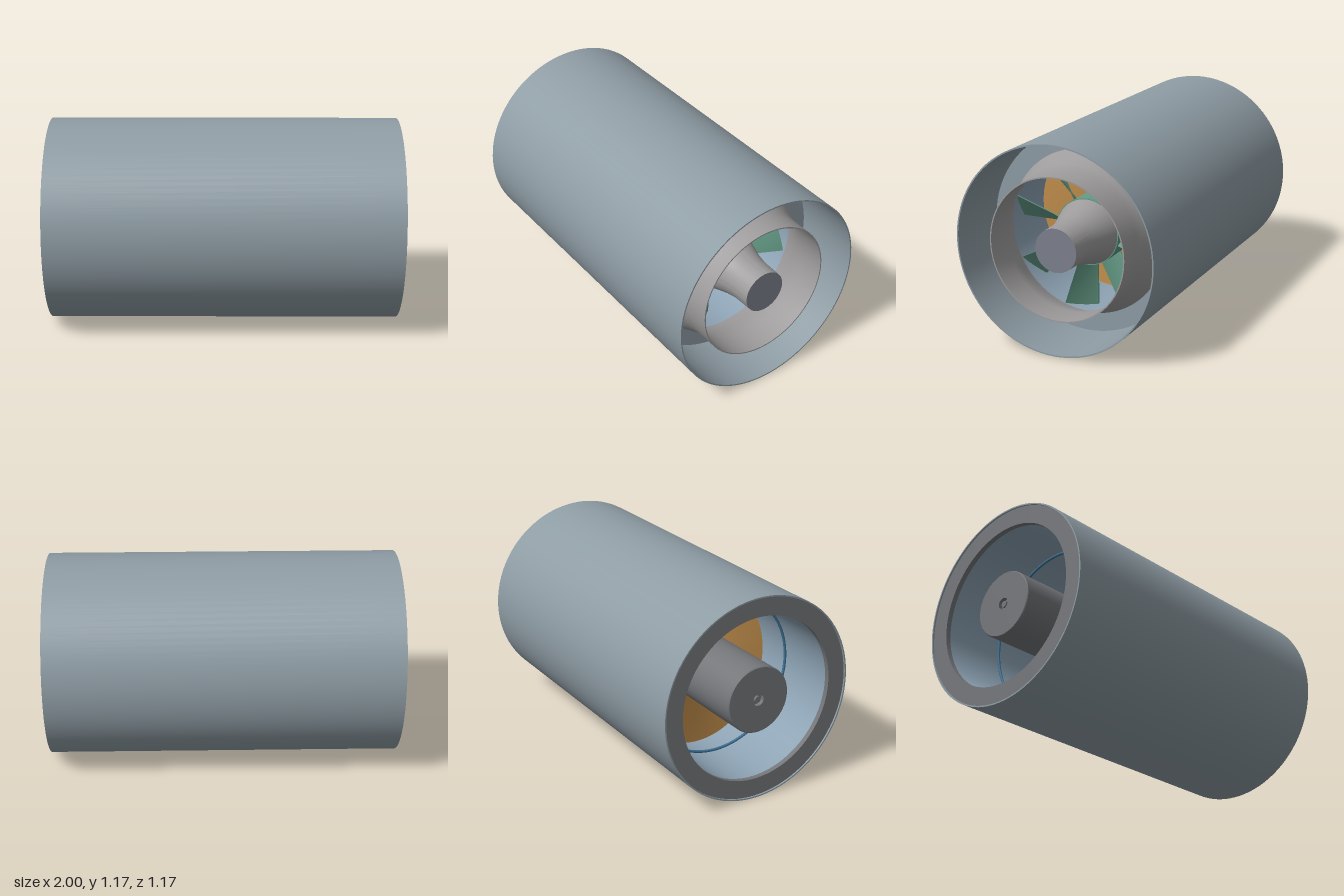
import * as THREE from 'three';
import { toCreasedNormals } from 'three/addons/utils/BufferGeometryUtils.js';

const SEGMENTS = 96;
const RADIUS = 0.583;

const material = (color) => new THREE.MeshStandardMaterial({ color, side: THREE.DoubleSide });

const COLORS = {
  shell: material(0x8e9ca4),
  duct: material(0x8ea4b5),
  ring: material(0x3f7396),
  cowl: material(0x9e9c9c),
  dark: material(0x74767a),
  cap: material(0x7c808c),
  orange: material(0xcb9550),
  green: material(0x649a86),
};

// Turned part around the x axis; profile is a list of [x, radius]
function turned(name, profile, mat) {
  const points = profile.map(([x, r]) => new THREE.Vector2(r, x));
  const geometry = new THREE.LatheGeometry(points, SEGMENTS);
  geometry.rotateZ(-Math.PI / 2);
  const mesh = new THREE.Mesh(toCreasedNormals(geometry, 0.5), mat);
  mesh.name = name;
  return mesh;
}

// Spiral blade: a box bent around the x axis, rising along x as it turns
function spiralBlade(name, { start, sweep, x0, x1, inner, outer, thickness, steps }, mat) {
  const geometry = new THREE.BoxGeometry(1, 1, 1, steps, 2, 1);
  const p = geometry.attributes.position;
  for (let i = 0; i < p.count; i++) {
    const t = p.getX(i) + 0.5;
    const angle = start + sweep * t;
    const r = THREE.MathUtils.lerp(inner, outer, p.getY(i) + 0.5);
    const x = THREE.MathUtils.lerp(x0, x1, t) + p.getZ(i) * thickness;
    p.setXYZ(i, x, r * Math.cos(angle), -r * Math.sin(angle));
  }
  geometry.computeVertexNormals();
  const mesh = new THREE.Mesh(geometry, mat);
  mesh.name = name;
  return mesh;
}

export function createModel() {
  const model = new THREE.Group();
  model.name = 'ductedTurbine';
  const rad = THREE.MathUtils.degToRad;

  // Thin outer shell, open at both ends
  model.add(turned('outerShell', [
    [-1, 0.575], [-1, RADIUS], [1, RADIUS], [1, 0.575], [-1, 0.575],
  ], COLORS.shell));

  // Inlet face and the duct behind it
  model.add(turned('inletRing', [[-0.96, 0.47], [-0.99, 0.47], [-0.99, 0.575]], COLORS.dark));
  model.add(turned('innerDuct', [[-0.96, 0.47], [0.6, 0.47]], COLORS.duct));

  // Raised seam inside the duct
  const seam = new THREE.Mesh(new THREE.TorusGeometry(0.464, 0.008, 8, SEGMENTS), COLORS.ring);
  seam.rotation.y = Math.PI / 2;
  seam.position.x = -0.6;
  seam.name = 'ductSeam';
  model.add(seam);

  // Bulkhead closing the gap between duct and shell
  model.add(turned('bulkhead', [[0.6, 0.575], [0.6, 0.47]], COLORS.shell));

  // Outlet nozzle: flared root and straight lip
  model.add(turned('outletNozzle', [
    [0.6, 0.47], [0.68, 0.438], [0.74, 0.414], [0.8, 0.402], [0.96, 0.4],
    [0.96, 0.393], [0.8, 0.395], [0.74, 0.407], [0.68, 0.431], [0.6, 0.463],
  ], COLORS.cowl));

  // Motor housing with a small recessed shaft end
  model.add(turned('motorHousing', [
    [-0.97, 0], [-0.97, 0.034], [-0.995, 0.034], [-0.995, 0.185], [-0.99, 0.19], [-0.5, 0.19],
  ], COLORS.dark));
  model.add(turned('motorShaftEnd', [[-0.99, 0], [-0.99, 0.018], [-0.97, 0.018]], COLORS.dark));

  // Rotor core
  model.add(turned('rotorCore', [[-0.5, 0.19], [0.6, 0.19], [0.6, 0.18]], COLORS.green));

  // Tail cone narrowing to a straight stub
  model.add(turned('tailCone', [
    [0.6, 0.185], [0.68, 0.16], [0.76, 0.137], [0.83, 0.125], [0.96, 0.122],
  ], COLORS.cowl));
  model.add(turned('tailCap', [[0.96, 0.122], [0.96, 0]], COLORS.cap));

  // Continuous spiral of the compressor
  const turns = 3;
  model.add(spiralBlade('compressorSpiral', {
    start: rad(122) - turns * Math.PI * 2, sweep: turns * Math.PI * 2,
    x0: -0.5, x1: 0.42, inner: 0.188, outer: 0.465, thickness: 0.012, steps: turns * 90,
  }, COLORS.orange));

  // Eight pitched outlet vanes
  const vanes = new THREE.Group();
  vanes.name = 'outletVanes';
  for (let i = 0; i < 8; i++) {
    vanes.add(spiralBlade('outletVane', {
      start: rad(45 * i), sweep: rad(18.5),
      x0: 0.46, x1: 0.58, inner: 0.188, outer: 0.468, thickness: 0.012, steps: 12,
    }, COLORS.green));
  }
  model.add(vanes);

  // Lift so the shell rests on the ground
  model.children.forEach((part) => { part.position.y += RADIUS; });
  return model;
}
